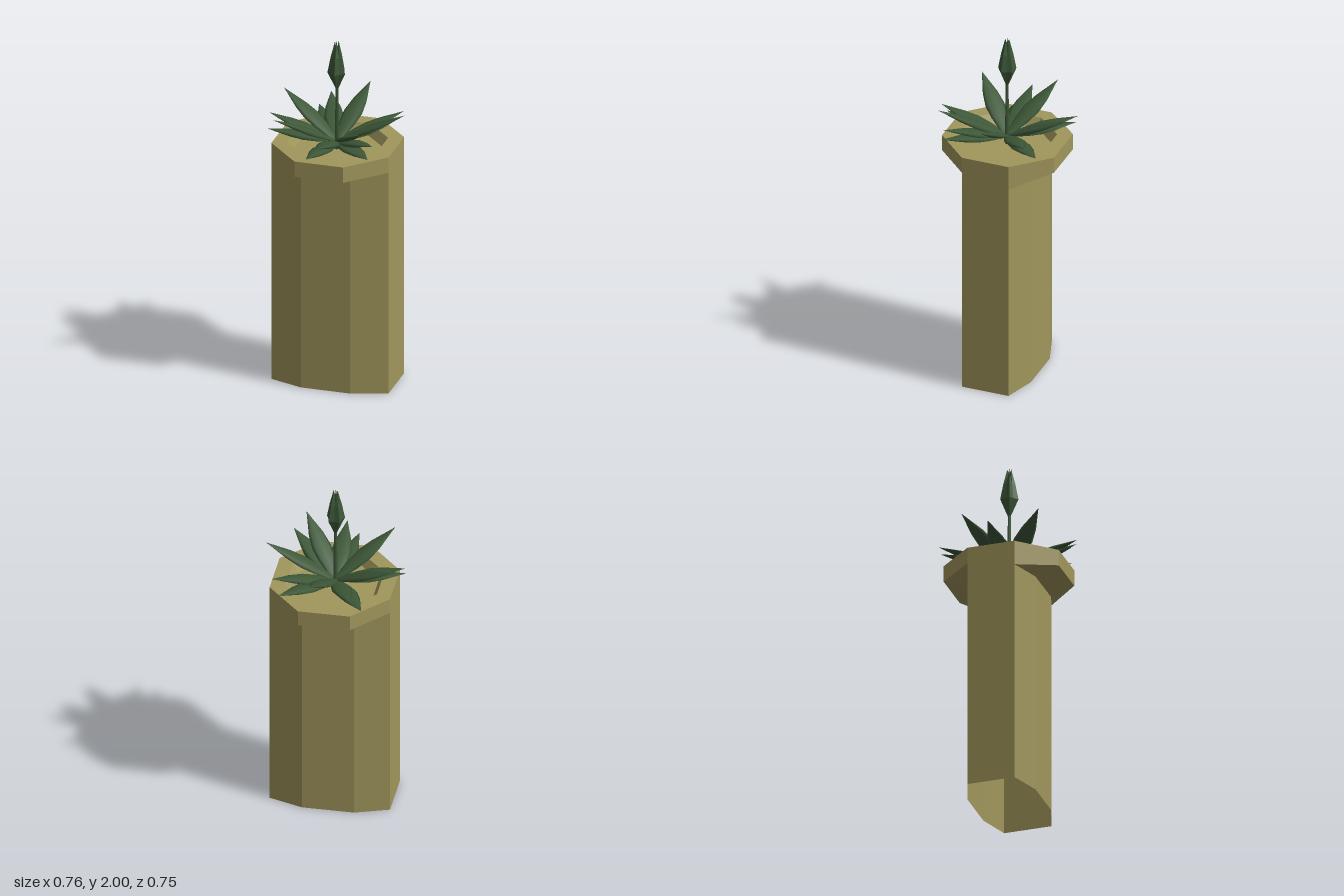
import * as THREE from 'three';

const clay = new THREE.MeshStandardMaterial({ color: 0xa0965c, side: THREE.DoubleSide });
clay.name = 'sandy clay';
clay.flatShading = true;
const green = new THREE.MeshStandardMaterial({ color: 0x3d5838, side: THREE.DoubleSide });
green.name = 'leaf green';

// Skin a list of equal-length rings of [x, y, z] points, optionally closing the last one
function loft(rings, cap = false) {
  const n = rings[0].length, index = [];
  for (let r = 0; r < rings.length - 1; r++) {
    for (let i = 0; i < n; i++) {
      const a = r * n + i, b = r * n + (i + 1) % n;
      index.push(a, b, b + n, a, b + n, a + n);
    }
  }
  if (cap) {
    const s = (rings.length - 1) * n;
    for (let i = 1; i < n - 1; i++) index.push(s, s + i, s + i + 1);
  }
  const geo = new THREE.BufferGeometry();
  geo.setAttribute('position', new THREE.Float32BufferAttribute(rings.flat(2), 3));
  geo.setIndex(index);
  geo.computeVertexNormals();
  return geo;
}

function flat(geo) {
  const g = geo.toNonIndexed();
  g.computeVertexNormals();
  return g;
}

function add(parent, name, geo, mat) {
  const mesh = new THREE.Mesh(geo, mat);
  mesh.name = name;
  parent.add(mesh);
  return mesh;
}

// Slightly uneven octagon of the planter rim
const octagon = [[0.13, 0.327], [0.33, 0.135], [0.338, -0.138], [0.15, -0.33],
  [-0.135, -0.33], [-0.322, -0.135], [-0.33, 0.135], [-0.145, 0.327]];
const rimRing = (y, s) => octagon.map(([x, z]) => [x * s, y, z * s]);
const shaftRing = (y) => octagon.map(([x, z]) => [x, y, Math.abs(z) > 0.2 ? Math.sign(z) * 0.195 : z]);

// Pointed lens-section leaf along +x
function leafGeometry(length) {
  const stations = [[0, 0.02], [0.12, 0.029], [0.3, 0.047], [0.48, 0.055], [0.68, 0.042], [0.85, 0.02], [1, 0.001]];
  return loft(stations.map(([t, w]) => {
    const ring = [];
    for (let i = 0; i < 8; i++) {
      const a = i / 8 * Math.PI * 2;
      ring.push([t * length, Math.cos(a) * w * 0.28, Math.sin(a) * w]);
    }
    return ring;
  }));
}

export function createModel() {
  const model = new THREE.Group();
  model.name = 'planter';

  // Pillar open at the bottom, flaring front and back to the rim, with a shallow basin
  add(model, 'pillar', flat(loft([shaftRing(0), shaftRing(1.27)])), clay);
  add(model, 'rim', flat(loft([shaftRing(1.27), rimRing(1.318, 1), rimRing(1.41, 1), rimRing(1.41, 0.76)])), clay);
  add(model, 'basin', flat(loft([rimRing(1.41, 0.76), rimRing(1.36, 0.67)], true)), clay);

  const plant = new THREE.Group();
  plant.name = 'plant';
  model.add(plant);

  // Three tiers of leaves: tip height and headings in degrees
  const tiers = [
    [1.605, [0, 78, 155, 222, 304]],
    [1.525, [35, 111, 180, 270, 316]],
    [1.453, [45, 121, 188, 260, 312]],
  ];
  const baseY = 1.405, reach = 0.38;
  for (const [tipY, headings] of tiers) {
    const rise = tipY - baseY;
    const geo = leafGeometry(Math.hypot(reach, rise));
    geo.rotateZ(Math.atan2(rise, reach));
    for (const deg of headings) {
      const leaf = add(plant, 'leaf', geo, green);
      leaf.position.y = baseY;
      leaf.rotation.y = THREE.MathUtils.degToRad(deg);
    }
  }

  // Flower stalk
  const stalk = add(plant, 'stalk', new THREE.CylinderGeometry(0.008, 0.013, 0.38, 6), green);
  stalk.position.y = 1.55;

  // Closed bud of five pointed petals
  const budProfile = [[0.008, 1.72, 1], [0.052, 1.815, 0.72], [0.034, 1.91, 0.72], [0.011, 2, 0.6], [0.002, 1.95, 1]];
  const bud = budProfile.map(([r, y, valley], k) => {
    const ring = [];
    for (let i = 0; i < 10; i++) {
      const a = i / 10 * Math.PI * 2, isValley = i % 2 === 1;
      const s = r * (isValley ? valley : 1);
      ring.push([Math.sin(a) * s, y - (isValley && k === 3 ? 0.035 : 0), Math.cos(a) * s]);
    }
    return ring;
  });
  add(plant, 'bud', flat(loft(bud)), green);

  return model;
}
